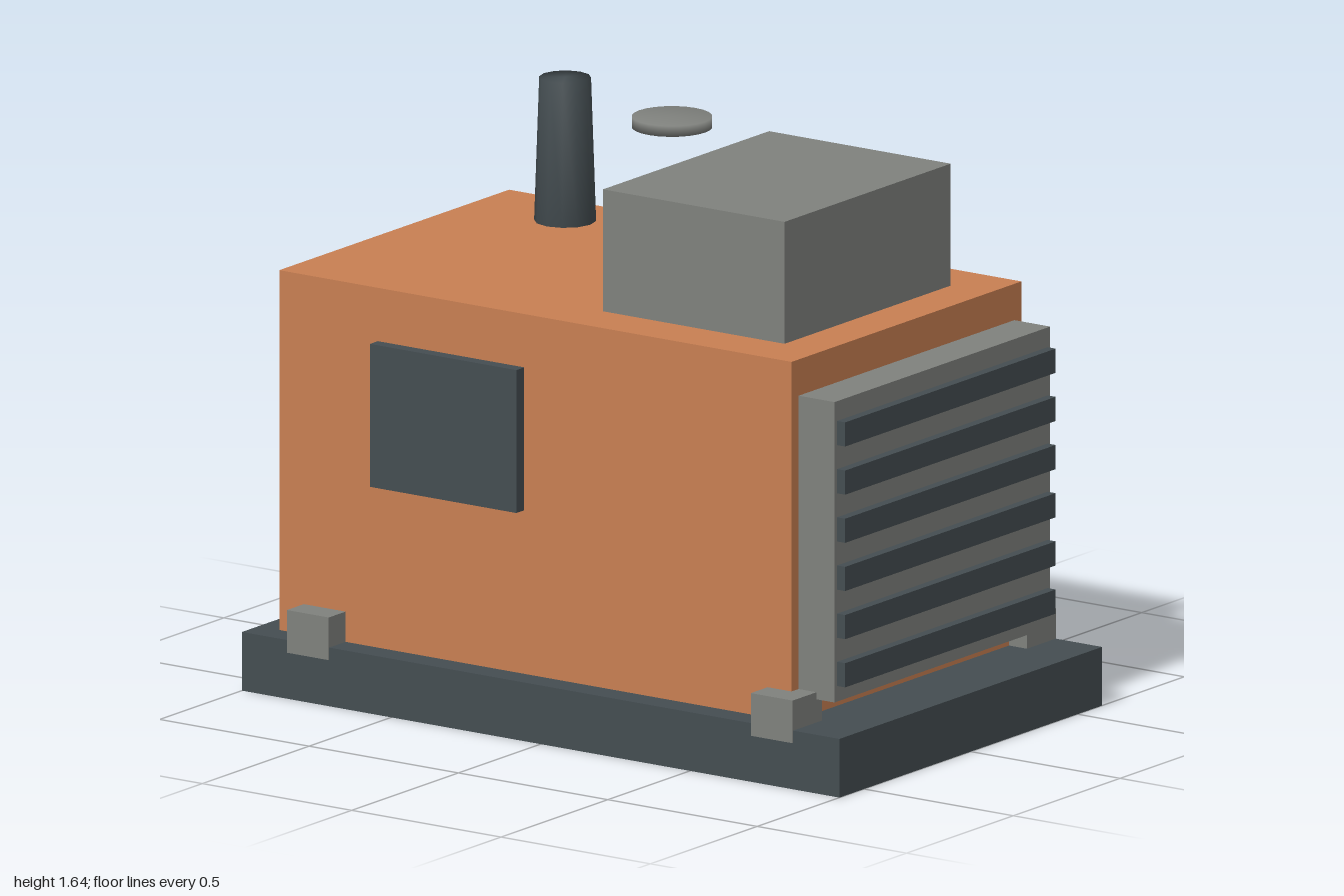
import * as THREE from 'three';

export function createModel() {
  const group = new THREE.Group();
  const material = (name, color) => {
    const m = new THREE.MeshStandardMaterial({ color });
    m.name = name;
    return m;
  };
  const orange = material('orange paint', 0xc87f52);
  const dark = material('dark slate', 0x444d51);
  const grey = material('grey metal', 0x7f817d);

  const add = (name, geometry, mat) => {
    const mesh = new THREE.Mesh(geometry, mat);
    mesh.name = name;
    group.add(mesh);
    return mesh;
  };
  // Box given by its limits on each axis
  const box = (name, mat, [x0, x1], [y0, y1], [z0, z1]) =>
    add(name, new THREE.BoxGeometry(x1 - x0, y1 - y0, z1 - z0), mat)
      .position.set((x0 + x1) / 2, (y0 + y1) / 2, (z0 + z1) / 2);
  // Turned solid with softly shaded rims, profile from bottom to top
  const turned = (name, mat, points, segments) =>
    add(name, new THREE.LatheGeometry(points.map(([r, y]) => new THREE.Vector2(r, y)), segments), mat);

  // Skid base and housing
  box('base', dark, [-1, 1], [0, 0.165], [-0.615, 0.615]);
  box('housing', orange, [-0.93, 0.785], [0.165, 1.177], [-0.538, 0.538]);

  // Mounting feet at the four corners
  for (const x of [-0.778, 0.775])
    for (const s of [-1, 1])
      box('mountingFoot', grey, [x - 0.07, x + 0.07], [0.13, 0.25],
        s > 0 ? [0.48, 0.617] : [-0.617, -0.48]);

  // Control panel on the front
  box('controlPanel', dark, [-0.6, -0.11], [0.625, 1.027], [0.53, 0.575]);

  // Radiator with horizontal slats
  box('radiator', grey, [0.78, 0.905], [0.23, 1.075], [-0.505, 0.505]);
  for (let i = 0; i < 6; i++) {
    const y = 0.308 + i * 0.1355;
    box('radiatorSlat', dark, [0.9, 0.932], [y - 0.034, y + 0.034], [-0.493, 0.493]);
  }

  // Roof box
  box('roofBox', grey, [0.047, 0.655], [1.17, 1.52], [-0.389, 0.389]);

  // Tapered exhaust stack
  turned('exhaustStack', dark, [[0, 1.172], [0.085, 1.172], [0.071, 1.58], [0, 1.58]], 12)
    .position.set(-0.613, 0, -0.357);

  // Lifting disc hovering above the roof
  turned('liftingDisc', grey, [[0, 1.58], [0.11, 1.607], [0.11, 1.637], [0, 1.637]], 24);

  return group;
}
